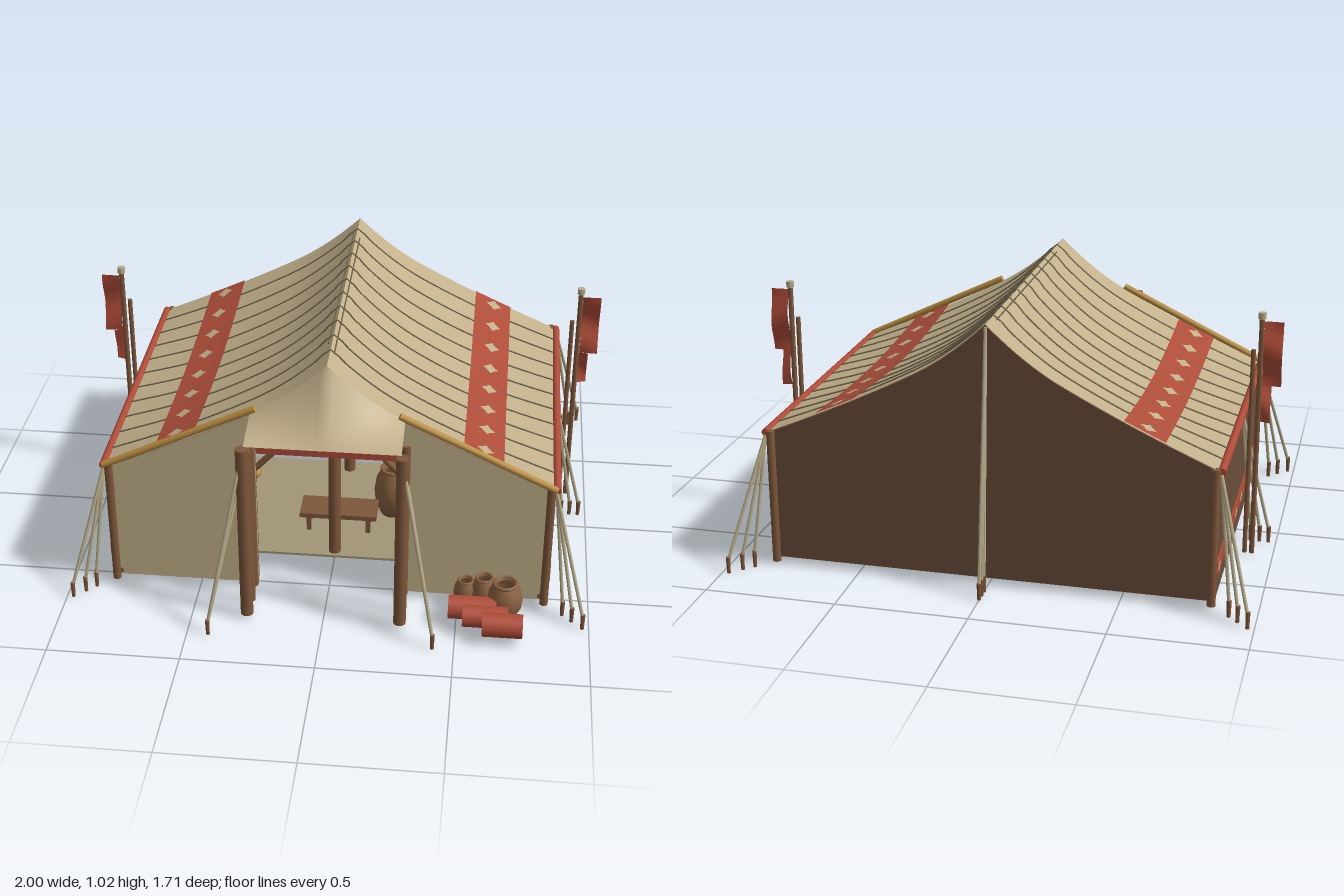
import * as THREE from 'three';

const mat = (name, color) => {
  const m = new THREE.MeshStandardMaterial({ color, side: THREE.DoubleSide });
  m.name = name;
  return m;
};

export function createModel() {
  const model = new THREE.Group();
  model.name = 'tent';
  const M = {
    canvas: mat('beige canvas', 0xc2b08b),
    wall: mat('brown cloth', 0x6b4e3c),
    red: mat('red cloth', 0xb04c39),
    wood: mat('brown wood', 0x7e573b),
    gold: mat('gold trim', 0xb98d40),
    rope: mat('rope', 0xb9ad8b),
    seam: mat('olive seam', 0x74694f),
    rug: mat('floor mat', 0xa39678),
    clay: mat('clay', 0x8a6242),
  };
  const V = (x, y, z) => new THREE.Vector3(x, y, z);
  const add = (name, geo, material, x = 0, y = 0, z = 0) => {
    const m = new THREE.Mesh(geo, material);
    m.name = name;
    m.position.set(x, y, z);
    model.add(m);
    return m;
  };
  // Round bar between two points
  const bar = (name, a, b, r, material, sides = 10) => {
    const d = b.clone().sub(a);
    const m = add(name, new THREE.CylinderGeometry(r, r, d.length(), sides), material);
    m.position.copy(a).addScaledVector(d, 0.5);
    m.quaternion.setFromUnitVectors(V(0, 1, 0), d.normalize());
    return m;
  };
  // Smooth sheet from a point rule f(u, v)
  const sheet = (name, f, nu, nv, material) => {
    const geo = new THREE.PlaneGeometry(1, 1, nu, nv);
    const p = geo.attributes.position;
    for (let i = 0; i < p.count; i++) {
      const q = f(p.getX(i) + 0.5, p.getY(i) + 0.5);
      p.setXYZ(i, q.x, q.y, q.z);
    }
    geo.computeVertexNormals();
    return add(name, geo, material);
  };

  // Roof rule: steep near the ridge, flatter to the eaves, sagging lengthwise
  const X = 0.85, ZB = -0.72, ZF = 0.545, EAVE = 0.53;
  const bow = (x) => Math.sin(Math.PI * Math.min(1, Math.abs(x) / X));
  const profile = (x) => {
    const a = Math.abs(x);
    return (a < 0.27 ? 1.01 - 0.9 * a + 0.73 * a * a : 0.82 - 0.5 * (a - 0.27)) - 0.018 * bow(x);
  };
  const roofY = (x, z) => profile(x) - 0.042 * Math.sin(Math.PI * (z - ZB) / (ZF - ZB)) * bow(x);
  const zAt = (t) => ZB + (ZF - ZB) * t;
  for (const s of [1, -1]) {
    const slope = (drop) => (u, v) => {
      const x = s > 0 ? X * u : X * (u - 1), z = zAt(1 - v);
      return V(x, roofY(x, z) - drop, z);
    };
    sheet('roofSlope', slope(0), 24, 24, M.canvas);
    sheet('roofLining', slope(0.01), 24, 24, M.wall);
    sheet('roofBand', (u, v) => {
      const x = s * 0.575 + (u - 0.5) * 0.15, z = zAt(1 - v);
      return V(x, roofY(x, z) + 0.005, z);
    }, 4, 24, M.red);
  }

  // Seams across the roof and along the ridge
  for (let i = 0; i < 10; i++) {
    const z = 0.43 - 0.1155 * i, pts = [];
    for (let k = -16; k <= 16; k++) pts.push(V(X * k / 16, roofY(X * k / 16, z) + 0.003, z));
    add('roofSeam', new THREE.TubeGeometry(new THREE.CatmullRomCurve3(pts), 48, 0.0032, 5), M.seam);
  }
  bar('ridgeSeam', V(-0.014, 0.998, -0.62), V(-0.014, 0.998, 0.36), 0.003, M.seam, 5);
  bar('ridgeSeam', V(0.014, 0.998, -0.55), V(0.014, 0.998, 0.43), 0.003, M.seam, 5);

  // Notched diamond ornament, longer along the band
  const diamond = () => {
    const s = new THREE.Shape();
    for (let k = 0; k < 8; k++) {
      const a = k * Math.PI / 4, r = k % 2 ? 0.62 : 1;
      s[k ? 'lineTo' : 'moveTo'](Math.cos(a) * r * 0.036, Math.sin(a) * r * 0.026);
    }
    return new THREE.ShapeGeometry(s);
  };

  // Side walls with banded hem, eave poles, sills and ornaments
  for (const s of [1, -1]) {
    add('sideWall', new THREE.BoxGeometry(0.012, 0.5, ZF - ZB), M.wall, s * 0.835, 0.28, (ZF + ZB) / 2);
    add('wallBand', new THREE.BoxGeometry(0.006, 0.06, ZF - ZB), M.red, s * 0.844, 0.15, (ZF + ZB) / 2);
    bar('eavePole', V(s * X, EAVE, ZB), V(s * X, EAVE, ZF), 0.015, M.red);
    bar('sill', V(s * 0.815, 0.045, ZB), V(s * 0.815, 0.045, ZF), 0.012, M.wood);
    for (let i = 0; i < 8; i++) {
      const z = 0.482 - 0.1645 * i;
      add('wallDiamond', diamond(), M.canvas, s * 0.849, 0.15, z).rotation.y = s * Math.PI / 2;
      const geo = diamond(), p = geo.attributes.position;
      for (let k = 0; k < p.count; k++) {
        const x = s * 0.58 + p.getY(k) * 1.2, zz = z + p.getX(k);
        p.setXYZ(k, x, roofY(x, zz) + 0.009, zz);
      }
      geo.computeVertexNormals();
      // All ornaments on the roof face upward
      if (geo.attributes.normal.getY(0) < 0) {
        geo.index.array.reverse();
        geo.computeVertexNormals();
      }
      add('roofDiamond', geo, M.canvas);
    }
  }

  // Gable walls, the front one lined with brown cloth
  const gable = (door) => {
    const s = new THREE.Shape();
    s.moveTo(-0.83, 0.03);
    if (door) [[-0.27, 0.03], [-0.27, 0.69], [0.27, 0.69], [0.27, 0.03]].forEach((q) => s.lineTo(...q));
    s.lineTo(0.83, 0.03);
    for (let k = 20; k >= -20; k--) s.lineTo(0.83 * k / 20, profile(0.83 * k / 20) - 0.004);
    return new THREE.ExtrudeGeometry(s, { depth: 0.008, bevelEnabled: false });
  };
  add('frontWall', gable(true), M.canvas, 0, 0, ZF - 0.01);
  add('frontLining', gable(true), M.wall, 0, 0, ZF - 0.019);
  add('backWall', gable(false), M.wall, 0, 0, ZB);
  bar('backSill', V(-0.82, 0.045, ZB + 0.025), V(0.82, 0.045, ZB + 0.025), 0.012, M.wood);

  // Porch canopy and red valance
  sheet('canopy', (u, v) => {
    const x = (u - 0.5) * 0.57, t = 1 - v;
    const y = THREE.MathUtils.lerp(profile(x), 0.757, t) - 0.018 * Math.sin(Math.PI * t) * (1 - Math.abs(x) / 0.285);
    return V(x, y, ZF + 0.172 * t);
  }, 24, 10, M.canvas);
  add('valance', new THREE.BoxGeometry(0.53, 0.06, 0.012), M.red, 0, 0.66, ZF + 0.008);
  bar('lintel', V(-0.28, 0.69, ZF - 0.03), V(0.28, 0.69, ZF - 0.03), 0.012, M.wood);

  // Guy rope with its peg
  const guy = (top, x, z) => {
    bar('guyRope', top, V(x, 0.05, z), 0.0065, M.rope, 8);
    add('peg', new THREE.CylinderGeometry(0.009, 0.007, 0.065, 8), M.wood, x, 0.0325, z);
  };
  for (const s of [1, -1]) {
    // Porch posts, door braces and gold roof edge
    for (const [z, h, r] of [[0.72, 0.75, 0.024], [0.635, 0.69, 0.02], [0.54, 0.69, 0.018]]) {
      bar('porchPost', V(s * 0.29, 0.015, z), V(s * 0.29, h, z), r, M.wood, 14);
      if (z > 0.6) guy(V(s * 0.29, h - 0.02, z), s * 0.42, 0.845);
    }
    bar('doorBrace', V(s * 0.28, 0.53, 0.51), V(s * 0.16, 0.66, 0.51), 0.012, M.wood);
    bar('goldEdge', V(s * 0.265, 0.818, ZF + 0.004), V(s * X, 0.535, ZF + 0.004), 0.013, M.gold);

    // Corner posts with fanned ropes
    for (const [z, d] of [[ZF, 1], [ZB, -1]]) {
      bar('cornerPost', V(s * 0.83, 0.012, z), V(s * 0.83, 0.54, z), 0.016, M.wood, 12);
      for (const k of [0.05, 0.085, 0.125]) guy(V(s * X, 0.52, z), s * (X + k), z + d * k);
    }
    for (const k of [0.05, 0.085, 0.12]) guy(V(s * X, 0.52, -0.09), s * (X + k), -0.09);

    // Banner pole, support and stepped banner
    bar('bannerPole', V(s * 0.92, 0.012, -0.23), V(s * 0.92, 0.96, -0.23), 0.01, M.wood);
    add('poleCap', new THREE.CylinderGeometry(0.015, 0.015, 0.024, 10), M.rope, s * 0.92, 0.963, -0.23);
    bar('poleSupport', V(s * 0.893, 0.012, -0.23), V(s * 0.893, 0.83, -0.23), 0.009, M.wood);
    for (const [x0, x1, y0, y1] of [[0.93, 1, 0.69, 0.94], [0.93, 0.965, 0.55, 0.69]]) {
      sheet('banner', (u, v) => {
        const y = y0 + (y1 - y0) * v;
        return V(s * (x0 + (x1 - x0) * u), y, -0.235 + 0.012 * Math.sin(y * 28 + u));
      }, 4, 12, M.red);
    }
  }
  guy(V(0, 1.0, ZB), 0, -0.845);
  guy(V(0, 1.0, ZB), 0, -0.81);
  guy(V(0, 1.0, ZB), 0, -0.775);

  // Floor mat, ridge supports and bench
  add('floorMat', new THREE.BoxGeometry(1.14, 0.01, 0.69), M.rug, 0, 0.02, -0.01);
  for (const z of [0.3, -0.3]) bar('innerPole', V(0, 0.005, z), V(0, 0.98, z), 0.024, M.wood, 14);
  bar('ridgePole', V(0, 0.968, ZB + 0.02), V(0, 0.968, ZF - 0.03), 0.014, M.wood);
  add('benchTop', new THREE.BoxGeometry(0.31, 0.02, 0.13), M.wood, 0, 0.105, 0.12);
  for (const x of [-0.12, 0.12]) for (const z of [0.08, 0.16]) {
    add('benchLeg', new THREE.BoxGeometry(0.018, 0.09, 0.018), M.wood, x, 0.055, z);
  }

  // Clay jars with rolled rims
  const jar = (x, y, z, r, h) => {
    const pts = [[0, 0], [0.65, 0], [0.95, 0.28], [1, 0.5], [0.9, 0.78], [0.66, 0.94], [0.66, 1], [0.5, 1], [0.5, 0.9]];
    add('jar', new THREE.LatheGeometry(pts.map(([a, b]) => new THREE.Vector2(a * r, b * h)), 20), M.clay, x, y, z);
    add('jarRim', new THREE.TorusGeometry(r * 0.62, r * 0.1, 6, 18), M.clay, x, y + h, z).rotation.x = Math.PI / 2;
  };
  jar(0.21, 0.025, 0, 0.078, 0.21);
  jar(0.68, 0.02, 0.63, 0.068, 0.14);
  jar(0.6, 0.02, 0.595, 0.05, 0.135);
  jar(0.53, 0.02, 0.59, 0.045, 0.115);

  // Rolled red blankets beside the door
  for (const [x, z, l, r] of [[0.56, 0.675, 0.18, 0.045], [0.61, 0.725, 0.17, 0.042], [0.675, 0.77, 0.15, 0.046]]) {
    add('blanketRoll', new THREE.CylinderGeometry(r, r, l, 24), M.red, x, 0.07, z).rotation.z = Math.PI / 2;
  }

  // Cushions along the mat and bags at the back
  const cushion = (name, x, y, z, material, w, d) =>
    add(name, new THREE.SphereGeometry(1, 16, 10), material, x, y, z).scale.set(w, 0.036, d);
  for (let i = 0; i < 4; i++) {
    const cloth = i % 2 ? M.gold : M.canvas;
    cushion('cushion', -0.44, 0.055, 0.2 - 0.13 * i, cloth, 0.075, 0.058);
    cushion('cushion', 0.36 + 0.09 * (i % 2), 0.1 + 0.05 * Math.floor(i / 2), -0.5, cloth, 0.06, 0.05);
  }
  for (let i = 0; i < 3; i++) cushion('bag', -0.64 + 0.13 * i, 0.08, -0.46, M.clay, 0.075, 0.06);
  return model;
}
